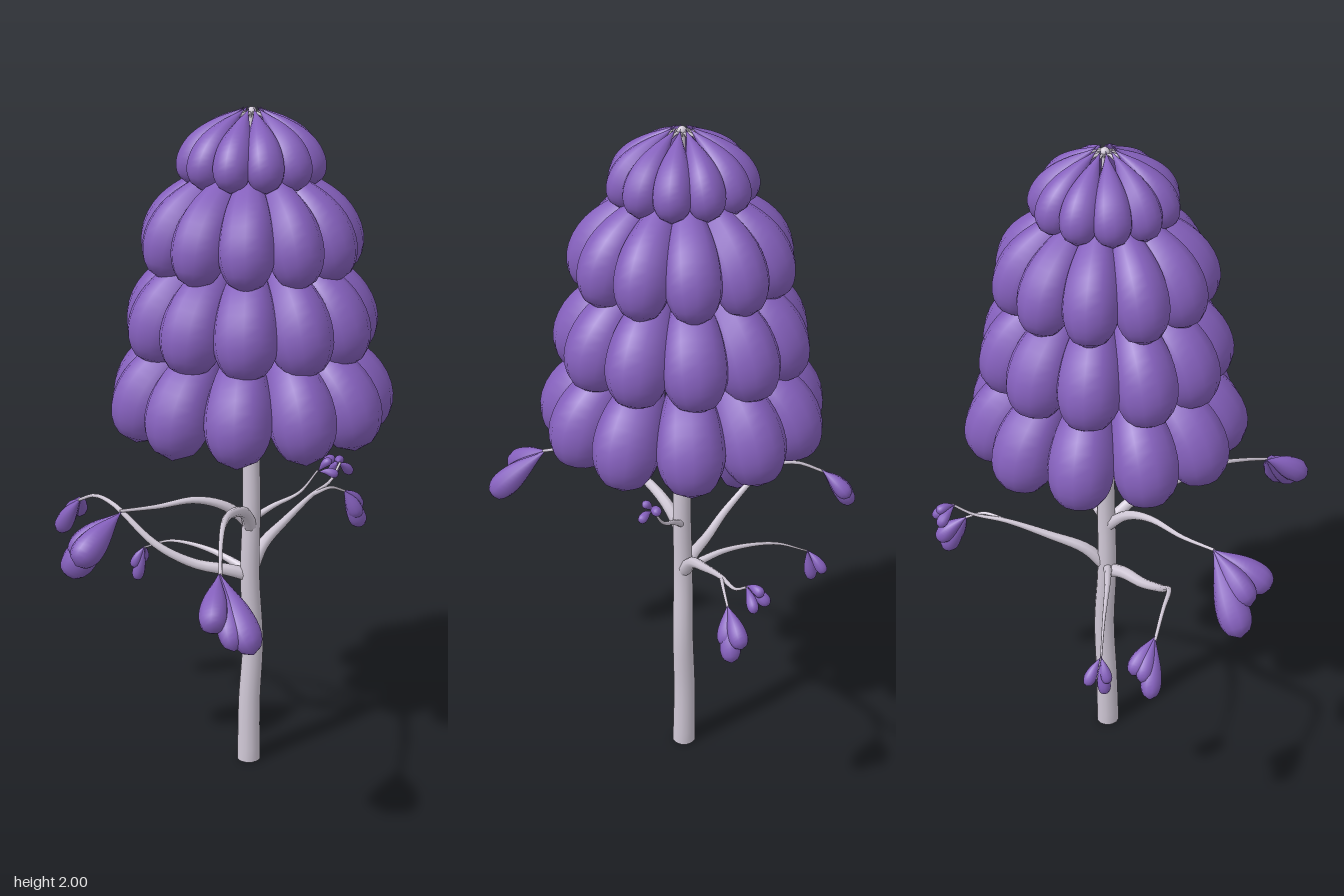
import * as THREE from 'three';
import { mergeVertices } from 'three/addons/utils/BufferGeometryUtils.js';

const bark = new THREE.MeshStandardMaterial({ color: 0xd0c8d6, side: THREE.DoubleSide });
const leaf = new THREE.MeshStandardMaterial({ color: 0x8560bd });
const CX = 0.027, CZ = 0.057; // trunk axis

// Tube along a smooth path whose radius follows a rule of t in 0..1
function taperedTube(points, radiusAt, segments, sides) {
  const curve = new THREE.CatmullRomCurve3(points.map(p => new THREE.Vector3(...p)));
  const geo = new THREE.TubeGeometry(curve, segments, 1, sides);
  const pos = geo.attributes.position;
  const v = new THREE.Vector3();
  for (let i = 0; i <= segments; i++) {
    const centre = curve.getPointAt(i / segments);
    const r = radiusAt(i / segments);
    for (let j = 0; j <= sides; j++) {
      const k = i * (sides + 1) + j;
      v.fromBufferAttribute(pos, k).sub(centre).multiplyScalar(r).add(centre);
      pos.setXYZ(k, v.x, v.y, v.z);
    }
  }
  geo.deleteAttribute('uv');
  geo.deleteAttribute('normal');
  const merged = mergeVertices(geo, 1e-5);
  merged.computeVertexNormals();
  return merged;
}

// Teardrop: pointed start, round heavy end
const teardrop = (R, belly, power) => t => t < belly
  ? R * Math.pow(Math.sin((t / belly) * Math.PI / 2), power)
  : R * Math.sqrt(Math.max(0, 1 - ((t - belly) / (1 - belly)) ** 2));

function add(parent, name, geo, mat) {
  const mesh = new THREE.Mesh(geo, mat);
  mesh.name = name;
  parent.add(mesh);
  return mesh;
}

function branch(parent, points, r0, r1) {
  add(parent, 'branch', taperedTube(points, t => r1 + (r0 - r1) * (1 - t) ** 1.5, 24, 8), bark);
}

// Teardrop leaves fanning out from one tip
function cluster(parent, tip, ends, R) {
  const group = new THREE.Group();
  group.name = 'leafCluster';
  ends.forEach((end, i) => {
    const mid = tip.map((c, k) => (c + end[k]) / 2 + (k === 1 ? 0.006 : 0));
    add(group, 'leaf', taperedTube([tip, mid, end], teardrop(R * (1 - 0.08 * i), 0.74, 1.35), 16, 10), leaf);
  });
  parent.add(group);
}

export function createModel() {
  const model = new THREE.Group();
  model.name = 'tree';

  // Trunk, slightly wavy, tapering to the crown tip
  add(model, 'trunk', taperedTube(
    [[0.022, 0, 0.06], [0.026, 0.2, 0.058], [0.034, 0.4, 0.064], [0.024, 0.62, 0.06],
      [0.027, 0.85, 0.063], [CX, 1.1, CZ], [CX, 1.5, CZ], [CX, 1.985, CZ]],
    t => (t < 0.55 ? 0.036 - 0.02 * t : 0.025 - 0.036 * (t - 0.55)), 48, 12), bark);
  const base = add(model, 'trunkBase', new THREE.CircleGeometry(0.036, 12), bark);
  base.rotation.x = Math.PI / 2;
  base.position.set(0.022, 0.001, 0.06);
  const tip = add(model, 'trunkTip', new THREE.SphereGeometry(0.014, 10, 8), bark);
  tip.position.set(CX, 1.982, CZ);

  // Crown: four tiers of drooping petals, profile given as [radius, height]
  const crown = new THREE.Group();
  crown.name = 'crown';
  crown.position.set(CX, 0, CZ);
  model.add(crown);
  const tiers = [
    { R: 0.054, start: 0, path: [[0.022, 1.995], [0.085, 1.945], [0.145, 1.87], [0.172, 1.785]] },
    { R: 0.078, start: Math.PI, path: [[0.02, 1.89], [0.12, 1.79], [0.225, 1.67], [0.265, 1.535]] },
    { R: 0.09, start: Math.PI, path: [[0.04, 1.66], [0.16, 1.56], [0.26, 1.44], [0.298, 1.295]] },
    { R: 0.094, start: 0.23, path: [[0.07, 1.43], [0.2, 1.33], [0.305, 1.21], [0.342, 1.065]] },
  ];
  const count = 11;
  tiers.forEach(({ R, start, path }) => {
    const tier = new THREE.Group();
    tier.name = 'petalTier';
    const petal = taperedTube(path.map(([r, y]) => [0, y, r]), teardrop(R, 0.74, 1.4), 20, 12);
    const [r0, y0] = path[0];
    const stalk = taperedTube([[0, y0 - 0.04, 0], [0, y0 - 0.015, r0 * 0.6], [0, y0 - 0.025, r0 + 0.03]], () => 0.004, 6, 6);
    for (let i = 0; i < count; i++) {
      const angle = start + (i / count) * Math.PI * 2;
      add(tier, 'petal', petal, leaf).rotation.y = angle;
      add(tier, 'petalStalk', stalk, bark).rotation.y = angle;
    }
    crown.add(tier);
  });

  // Curved struts carrying the lowest tier: [direction, start height, lift]
  for (const [angle, y, lift] of [[Math.PI - 0.1, 1.02, 0.06], [-0.9, 1.03, 0.13], [1.2, 1.06, 0.14]]) {
    add(crown, 'strut', taperedTube(
      [[0, y, 0], [0, y + lift * 0.3, 0.07], [0, y + lift, 0.15], [0, y + lift * 2, 0.24]],
      t => 0.016 - 0.011 * t, 14, 8), bark).rotation.y = angle;
  }

  // Front right branch
  branch(model, [[0.03, 0.76, 0.06], [-0.04, 0.84, 0.1], [-0.16, 0.885, 0.16], [-0.28, 0.905, 0.25],
    [-0.37, 0.88, 0.33], [-0.43, 0.85, 0.39]], 0.022, 0.005);
  cluster(model, [-0.425, 0.855, 0.38], [[-0.475, 0.69, 0.555], [-0.55, 0.75, 0.475], [-0.51, 0.7, 0.52]], 0.042);

  // Back right branch
  branch(model, [[0.03, 0.77, 0.06], [-0.04, 0.84, 0.03], [-0.12, 0.87, -0.02], [-0.22, 0.86, -0.08],
    [-0.32, 0.86, -0.13]], 0.02, 0.005);
  cluster(model, [-0.315, 0.86, -0.125], [[-0.42, 0.65, -0.26], [-0.49, 0.74, -0.13], [-0.44, 0.73, -0.21]], 0.05);

  // Long back branch
  branch(model, [[0.03, 0.61, 0.06], [-0.03, 0.635, 0.02], [-0.1, 0.655, -0.05], [-0.17, 0.71, -0.14],
    [-0.21, 0.81, -0.28], [-0.205, 0.815, -0.37], [-0.195, 0.775, -0.46]], 0.022, 0.005);
  cluster(model, [-0.195, 0.785, -0.45], [[-0.195, 0.645, -0.56], [-0.14, 0.7, -0.53], [-0.17, 0.69, -0.545]], 0.029);

  // Thin back twig
  branch(model, [[0.02, 0.63, 0.05], [0.0, 0.66, -0.08], [-0.015, 0.65, -0.24], [-0.025, 0.6, -0.35]], 0.014, 0.003);
  cluster(model, [-0.025, 0.605, -0.35], [[-0.04, 0.485, -0.375], [0.01, 0.53, -0.4], [-0.05, 0.53, -0.38]], 0.02);

  // Left branch with a fork
  branch(model, [[0.03, 0.63, 0.06], [0.09, 0.69, 0.05], [0.2, 0.735, 0.04], [0.33, 0.78, 0.03],
    [0.43, 0.8, 0.02], [0.49, 0.84, 0.005]], 0.022, 0.004);
  cluster(model, [0.48, 0.84, 0.005], [[0.52, 0.79, -0.05], [0.55, 0.79, 0.0], [0.53, 0.83, -0.03]], 0.018);
  branch(model, [[0.33, 0.78, 0.03], [0.4, 0.79, 0.045], [0.46, 0.765, 0.05]], 0.007, 0.004);
  cluster(model, [0.455, 0.77, 0.05], [[0.535, 0.63, 0.06], [0.55, 0.68, 0.035], [0.51, 0.67, 0.07]], 0.03);

  // Thin front twig
  branch(model, [[0.03, 0.79, 0.06], [0.08, 0.83, 0.1], [0.14, 0.87, 0.15], [0.175, 0.94, 0.19]], 0.012, 0.003);
  cluster(model, [0.175, 0.935, 0.19], [[0.245, 0.965, 0.19], [0.215, 0.925, 0.235], [0.2, 0.975, 0.22]], 0.015);

  return model;
}
